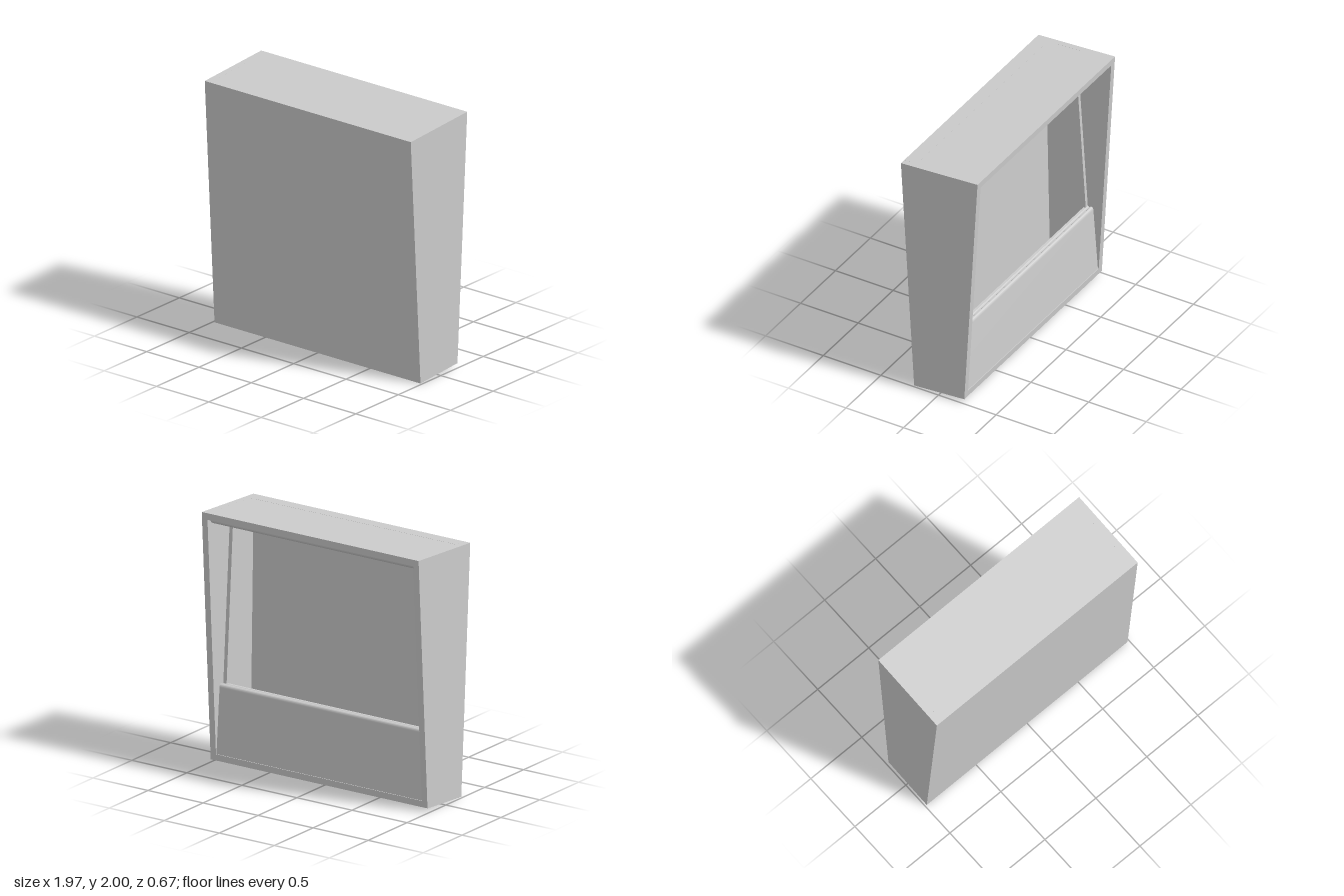
import * as THREE from 'three';
import { toCreasedNormals } from 'three/addons/utils/BufferGeometryUtils.js';

const material = new THREE.MeshStandardMaterial({ color: 0xcccccc });
const HALF = 0.985;  // half width of the cabinet
const INNER = 0.935; // inner face of the side walls
const LINER = 0.905; // inner face of the side liners

// Extrudes a side profile, drawn as (z, y), from x0 to x1.
function profileMesh(name, shape, x0, x1) {
  const geometry = new THREE.ExtrudeGeometry(shape, {
    depth: x1 - x0, bevelEnabled: false, curveSegments: 10,
  });
  geometry.rotateY(-Math.PI / 2);
  geometry.translate(x1, 0, 0);
  const mesh = new THREE.Mesh(toCreasedNormals(geometry, 0.6), material);
  mesh.name = name;
  return mesh;
}

const polygon = (...points) => new THREE.Shape(points.map(([z, y]) => new THREE.Vector2(z, y)));

export function createModel() {
  const model = new THREE.Group();
  model.name = 'wedgeCabinet';

  // Tapered side walls, and liners that leave a ledge near the open back
  const side = polygon([0.22, 0], [0.335, 1.96], [-0.33, 2], [-0.215, 0.03]);
  const liner = polygon([0.2, 0.06], [0.26, 1.9], [-0.038, 1.9], [-0.16, 0.06]);
  for (const [label, s] of [['left', 1], ['right', -1]]) {
    const span = (a, b) => [s * a, s * b].sort((p, q) => p - q);
    model.add(profileMesh(label + 'Wall', side, ...span(INNER, HALF)));
    model.add(profileMesh(label + 'Liner', liner, ...span(LINER, INNER)));
  }

  // Front wall, thicker towards the top
  model.add(profileMesh('frontWall',
    polygon([0.22, 0], [0.335, 1.96], [0.224, 1.967], [0.185, 0.002]), -INNER, INNER));

  // Floor
  model.add(profileMesh('floor',
    polygon([0.19, 0.002], [0.19, 0.055], [-0.218, 0.08], [-0.215, 0.03]), -INNER, INNER));

  // Top wall with a rounded moulding behind the back rim
  const top = polygon([-0.33, 2], [0.228, 1.966], [0.228, 1.885], [-0.035, 1.9]);
  top.quadraticCurveTo(-0.1, 1.9, -0.125, 1.882);
  top.lineTo(-0.145, 1.88);
  top.bezierCurveTo(-0.2, 1.88, -0.27, 1.9, -0.285, 1.925);
  top.lineTo(-0.29, 1.95);
  top.lineTo(-0.327, 1.948);
  model.add(profileMesh('topWall', top, -INNER, INNER));

  // Lower back panel, leaning inwards, with a grooved rounded sill
  const panel = polygon([-0.15, 0.07], [-0.212, 0.07], [-0.172, 0.59]);
  panel.quadraticCurveTo(-0.17, 0.618, -0.15, 0.616);
  panel.quadraticCurveTo(-0.14, 0.6, -0.125, 0.612);
  panel.lineTo(-0.105, 0.612);
  panel.lineTo(-0.11, 0.56);
  model.add(profileMesh('lowerBackPanel', panel, -INNER, INNER));

  return model;
}
